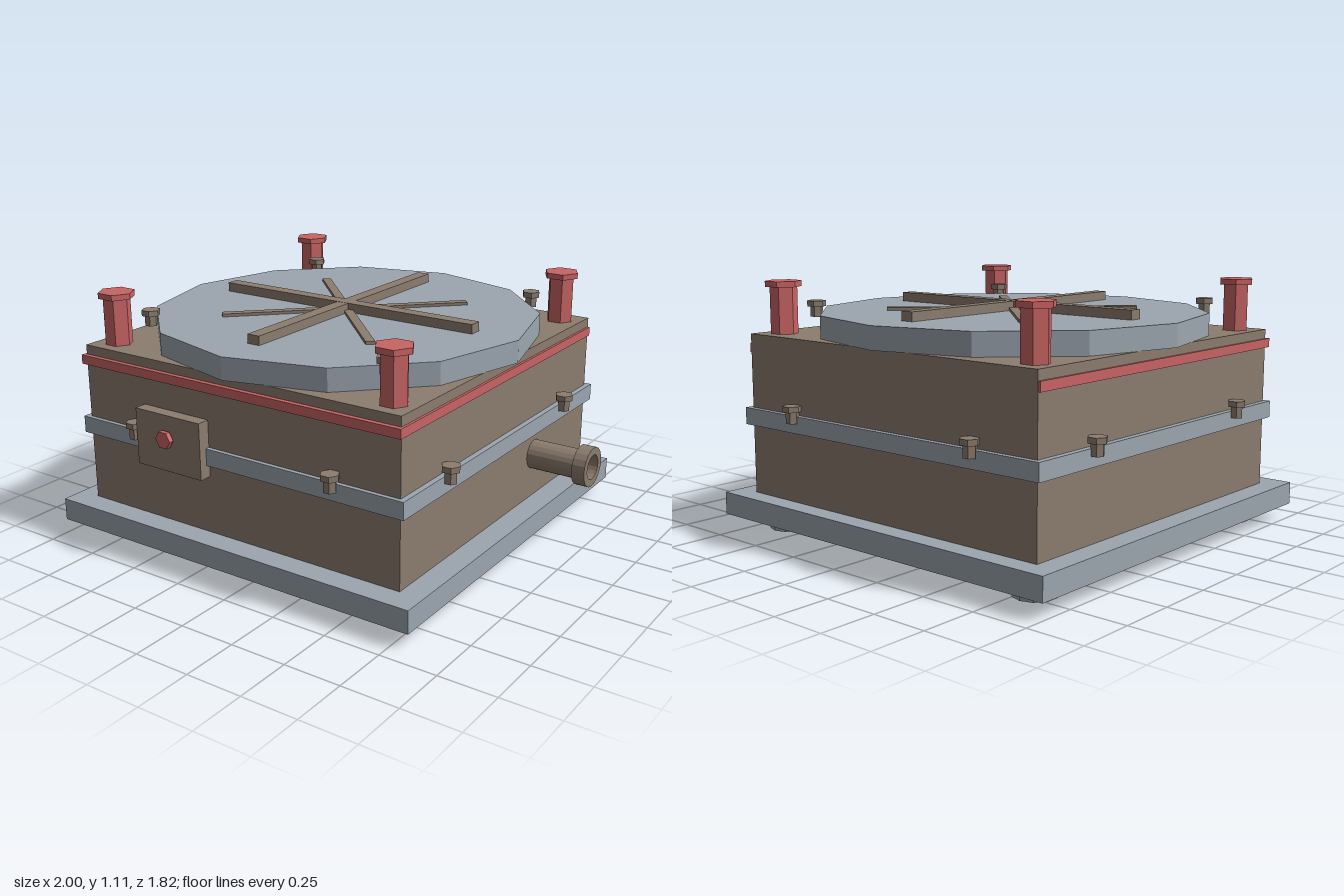
import * as THREE from 'three';

const CX = -0.092; // centre line of the housing
const CZ = -0.005;

const mat = (name, color) => {
  const m = new THREE.MeshStandardMaterial({ color });
  m.name = name;
  return m;
};

// Faceted normals for low-sided shapes
function faceted(geo) {
  const g = geo.toNonIndexed();
  g.computeVertexNormals();
  return g;
}

// Prism with corners on the x axis when it has six sides
function prism(r, y0, y1, sides) {
  const g = new THREE.CylinderGeometry(r, r, y1 - y0, sides);
  if (sides === 6) g.rotateY(Math.PI / 6);
  return faceted(g.translate(0, (y0 + y1) / 2, 0));
}

// Box given by its limits
function block(x0, x1, y0, y1, z0, z1) {
  return new THREE.BoxGeometry(x1 - x0, y1 - y0, z1 - z0)
    .translate((x0 + x1) / 2, (y0 + y1) / 2, (z0 + z1) / 2);
}

export function createModel() {
  const model = new THREE.Group();
  model.name = 'housing';
  const brown = mat('brown metal', 0x8c7d6f);
  const steel = mat('grey steel', 0x9ca6b0);
  const red = mat('red paint', 0xc96464);

  const add = (parent, name, geo, material, x = 0, y = 0, z = 0) => {
    const m = new THREE.Mesh(geo, material);
    m.name = name;
    m.position.set(x, y, z);
    parent.add(m);
    return m;
  };

  // Bolt: narrow hexagonal shank under a wider hexagonal head
  const bolt = (name, material, x, y, z, r, shankR, shankH, headH) => {
    const g = new THREE.Group();
    g.name = name;
    g.position.set(x, y, z);
    add(g, 'shank', prism(shankR, 0, shankH, 6), material);
    add(g, 'head', prism(r, shankH, shankH + headH, 6), material);
    model.add(g);
    return g;
  };

  // Base plate, body, flange and seal
  add(model, 'basePlate', block(-1, 0.82, 0.065, 0.165, -0.91, 0.91), steel);
  add(model, 'body', block(-0.9, 0.715, 0.165, 0.877, -0.82, 0.804), brown);
  add(model, 'flange', block(-0.926, 0.74, 0.475, 0.55, -0.843, 0.823), steel);
  add(model, 'seal', block(-0.91, 0.726, 0.795, 0.835, -0.817, 0.825), red);

  // Twelve-sided lid with cross ribs
  add(model, 'lid', prism(0.859, 0.877, 0.975, 12), steel, CX, 0, CZ);
  for (let i = 0; i < 4; i++) {
    const diagonal = i % 2 === 1;
    const geo = diagonal
      ? block(-0.553, 0.553, 0.97, 0.988, -0.02, 0.02)
      : block(-0.657, 0.657, 0.97, 1.016 - i * 0.0005, -0.03, 0.03);
    add(model, diagonal ? 'diagonalRib' : 'mainRib', geo, brown, CX, 0, CZ)
      .rotation.y = i * Math.PI / 4;
  }

  // Parts repeated at the four corners
  for (const sx of [-1, 1]) {
    for (const sz of [-1, 1]) {
      add(model, 'foot', prism(0.09, 0, 0.065, 10), steel, CX + sx * 0.71, 0, sz * 0.71);
      bolt('clampBolt', red, CX + sx * 0.709, 0.877, CZ + sz * 0.707, 0.08, 0.06, 0.205, 0.025);
      bolt('lidBolt', brown, CX + sx * 0.608, 0.95, CZ + sz * 0.608, 0.041, 0.028, 0.045, 0.025);
      // Flange bolts, two along each side
      bolt('flangeBolt', brown, CX + sx * 0.508, 0.52, CZ + sz * 0.843, 0.041, 0.028, 0.05, 0.025);
      bolt('flangeBolt', brown, CX + sx * 0.846, 0.52, CZ + sz * 0.508, 0.041, 0.028, 0.05, 0.025);
    }
  }

  // Front cover plate with red screw
  add(model, 'coverPlate', block(-0.57, -0.22, 0.42, 0.67, 0.8, 0.86), brown);
  bolt('coverScrew', red, -0.395, 0.57, 0.85, 0.04, 0.028, 0.02, 0.022).rotation.x = Math.PI / 2;

  // Hollow outlet pipe with end collar
  const profile = [
    [0.066, 0.7], [0.066, 0.94], [0.09, 0.94], [0.09, 1], [0.056, 1], [0.056, 0.72], [0, 0.72],
  ].map(([r, h]) => new THREE.Vector2(r, h));
  const pipe = faceted(new THREE.LatheGeometry(profile, 20).rotateZ(-Math.PI / 2));
  add(model, 'outletPipe', pipe, brown, 0, 0.366, -0.305);

  return model;
}
